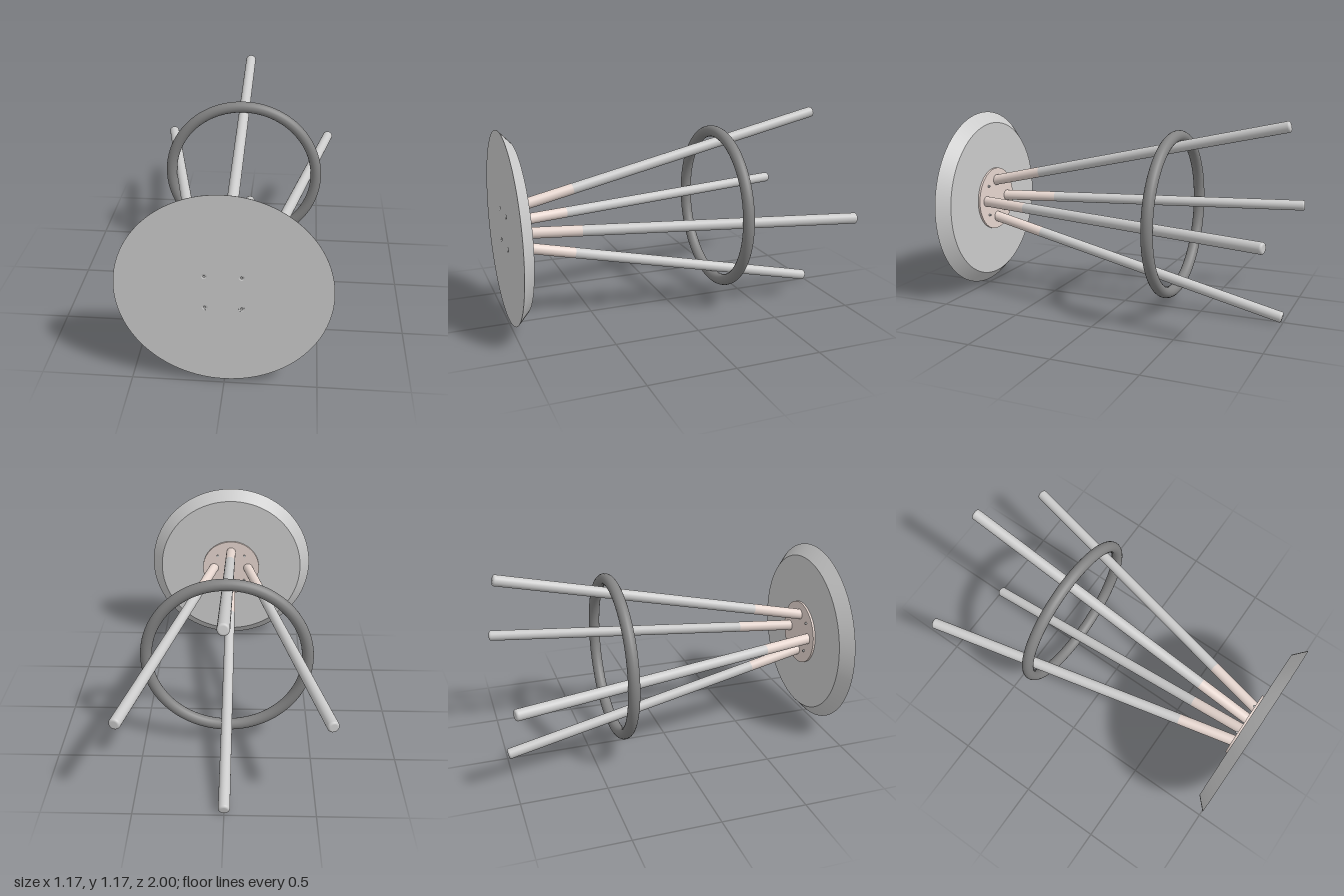
import * as THREE from 'three';

const V = (x, y) => new THREE.Vector2(x, y);
const grey = new THREE.MeshStandardMaterial({ color: 0xcccccc });
const pale = new THREE.MeshStandardMaterial({ color: 0xe6d6cf });
const mottled = new THREE.MeshStandardMaterial({ color: 0x848484 });

// Lathe with hard edges: each run of points is smoothed on its own
function turned(name, runs, material, segments, parent) {
  const part = new THREE.Group();
  part.name = name;
  for (const run of runs) {
    const mesh = new THREE.Mesh(new THREE.LatheGeometry(run, segments), material);
    mesh.name = name + 'Surface';
    part.add(mesh);
  }
  parent.add(part);
  return part;
}

export function createModel() {
  const model = new THREE.Group();
  model.name = 'stool';

  // Built upright with the seat on top, then laid down so the seat faces +z
  const stool = new THREE.Group();
  stool.name = 'tippedStool';
  stool.rotation.x = Math.PI / 2;
  stool.position.y = 0.586;
  model.add(stool);

  const screwSpots = [];
  for (const x of [-0.095, 0.095]) for (const z of [-0.095, 0.095]) screwSpots.push([x, z]);

  // Seat: bevelled disc with four screw holes in its face
  turned('seat', [
    [V(0, 0.933), V(0.495, 0.933)],
    [V(0.495, 0.933), V(0.5625, 0.998), V(0.5625, 1)],
  ], grey, 96, stool);
  const face = new THREE.Shape().absarc(0, 0, 0.5625, 0, Math.PI * 2);
  for (const [x, z] of screwSpots) {
    face.holes.push(new THREE.Path().absarc(x, z, 0.015, 0, Math.PI * 2, true));
  }
  const seatFace = new THREE.Mesh(new THREE.ShapeGeometry(face, 48), grey);
  seatFace.name = 'seatFace';
  seatFace.rotation.x = -Math.PI / 2;
  seatFace.position.y = 1;
  stool.add(seatFace);

  // Mounting plate under the seat
  turned('mountingPlate', [
    [V(0, 0.92), V(0.2, 0.92)],
    [V(0.2, 0.92), V(0.2, 0.934)],
  ], pale, 64, stool);

  // Socket-head screws through seat and plate
  for (const [x, z] of screwSpots) {
    const screw = turned('screw', [
      [V(0, 0.909), V(0.007, 0.909)],
      [V(0.007, 0.909), V(0.007, 0.98)],
      [V(0.015, 0.98), V(0.015, 1)],
      [V(0.015, 1), V(0.012, 0.998), V(0.006, 0.998)],
      [V(0.006, 0.998), V(0.006, 0.988)],
      [V(0.006, 0.988), V(0, 0.988)],
    ], grey, 16, stool);
    screw.position.set(x, 0, z);
  }

  // Four splayed legs with rounded feet and pale upper ends
  const R = 0.0325, footR = 0.5575, footY = -0.995, topR = 0.12, topY = 0.928;
  const tilt = Math.atan2(footR - topR, topY - footY);
  const length = Math.hypot(footR - topR, topY - footY);
  const split = length * (0.59 - footY) / (topY - footY);
  const foot = [V(0, 0)];
  for (let i = 0; i <= 5; i++) {
    const a = (i / 5) * Math.PI / 2;
    foot.push(V(R - 0.013 + 0.013 * Math.sin(a), 0.013 - 0.013 * Math.cos(a)));
  }
  for (let i = 0; i < 4; i++) {
    const pivot = new THREE.Group();
    pivot.name = 'leg' + (i + 1);
    pivot.rotation.y = i * Math.PI / 2;
    stool.add(pivot);
    const leg = new THREE.Group();
    leg.name = 'legTube';
    leg.position.set(footR, footY, 0);
    leg.rotation.z = tilt;
    pivot.add(leg);
    turned('legShaft', [foot, [V(R, 0.013), V(R, split)]], grey, 32, leg);
    turned('legUpperEnd', [[V(R, split), V(R, length)], [V(R, length), V(0, length)]], pale, 32, leg);
  }

  // Footrest ring around the outside of the legs
  const ring = new THREE.Mesh(new THREE.TorusGeometry(0.469, 0.034, 20, 96), mottled);
  ring.name = 'footrestRing';
  ring.rotation.x = Math.PI / 2;
  ring.position.y = -0.325;
  stool.add(ring);

  return model;
}
